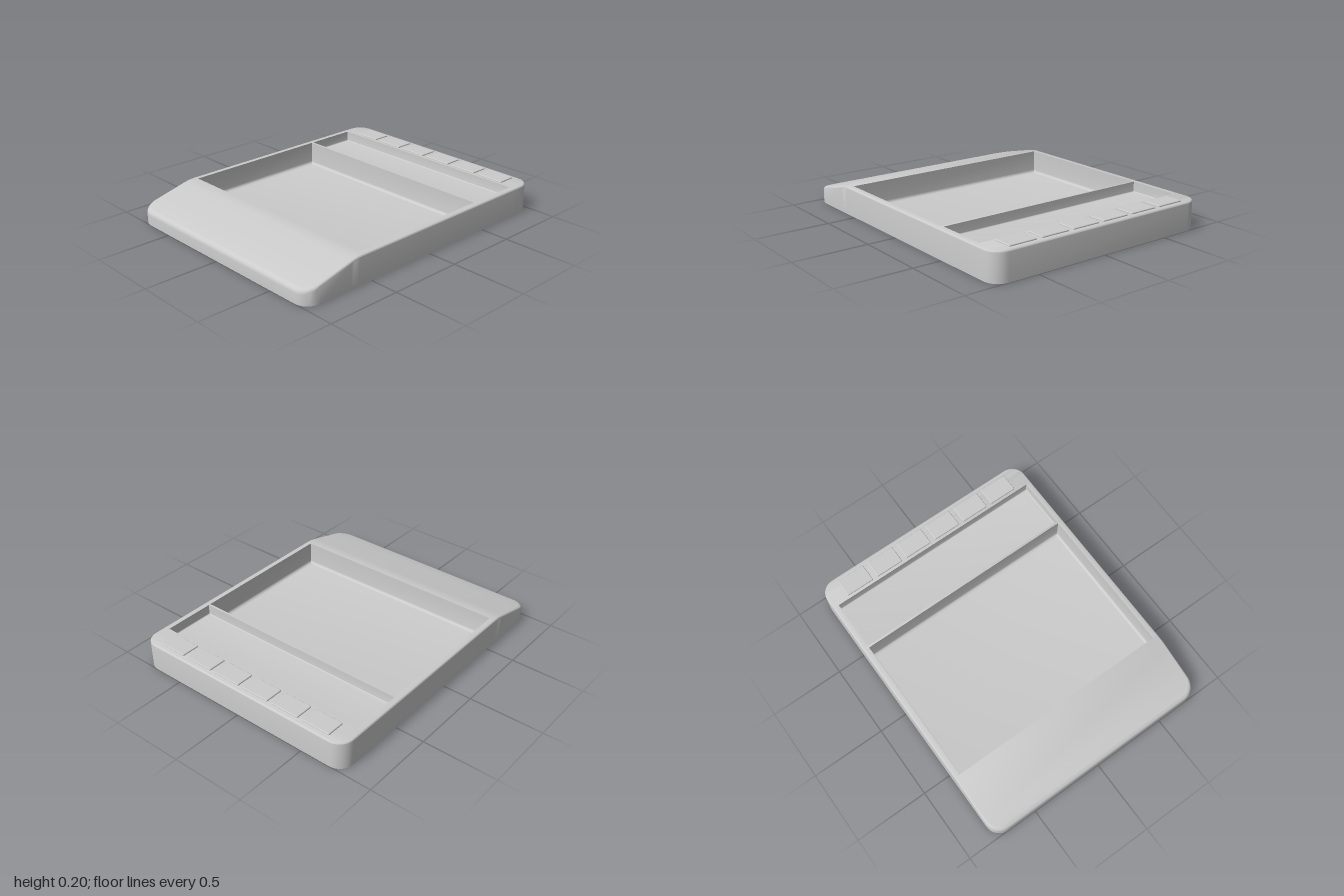
import * as THREE from 'three';
import { toCreasedNormals } from 'three/addons/utils/BufferGeometryUtils.js';
import { RoundedBoxGeometry } from 'three/addons/geometries/RoundedBoxGeometry.js';

const W = 0.805, L = 1, R = 0.1, TOP = 0.19;
const POCKET_X = 0.765;
const POCKETS = [
  { name: 'rearPocket', z0: -0.82, z1: -0.47, floor: 0.12, r: 0.006 },
  { name: 'mainPocket', z0: -0.455, z1: 0.57, floor: 0.03, r: 0.02 },
];

const material = new THREE.MeshStandardMaterial({ color: 0xcccccc });

// Height of the top surface: flat, then a softened bend into the front slope
function topHeight(z) {
  const start = 0.57, end = 0.66, slope = 0.245;
  if (z <= start) return TOP;
  if (z < end) return TOP - slope * (z - start) ** 2 / (2 * (end - start));
  return TOP - slope * (z - (start + end) / 2);
}

// Collects quads (corners counter-clockwise from the front) into one mesh
class Surface {
  constructor() { this.data = []; }
  quad(a, b, c, d) {
    for (const p of [a, b, c, a, c, d]) this.data.push(...p);
  }
  loft(low, high) {
    low.forEach((a, i) => {
      const j = (i + 1) % low.length;
      this.quad(low[j], a, high[i], high[j]);
    });
  }
  mesh(name) {
    const geo = new THREE.BufferGeometry();
    geo.setAttribute('position', new THREE.Float32BufferAttribute(this.data, 3));
    const mesh = new THREE.Mesh(toCreasedNormals(geo, 0.55), material);
    mesh.name = name;
    return mesh;
  }
}

// Right half of the rounded outline, back to front, with outward normals
function halfOutline() {
  const pts = [], n = 8;
  const arc = (cz, from) => {
    for (let i = 0; i <= n; i++) {
      const a = from + (i / n) * Math.PI / 2;
      const nx = Math.cos(a), nz = Math.sin(a);
      pts.push({ x: W - R + R * nx, z: cz + R * nz, nx, nz });
    }
  };
  arc(-L + R, -Math.PI / 2);
  for (const z of [-0.82, -0.47, -0.455, 0.57, 0.593, 0.615, 0.638, 0.66])
    pts.push({ x: W, z, nx: 1, nz: 0 });
  arc(L - R, 0);
  return pts;
}

const mirror = ([x, y, z]) => [-x, y, z];
const fullLoop = half => [...half, ...half.map(mirror).reverse()];

function buildBody() {
  const s = new Surface();
  const outline = halfOutline();

  // Side wall, then a rounded top edge that is broader at the nose
  const base = outline.map(p => [p.x, 0, p.z]);
  let prev = base;
  const steps = 5;
  for (let k = 0; k <= steps; k++) {
    const a = (k / steps) * Math.PI / 2;
    const ring = outline.map(p => {
      const b = 0.012 + 0.016 * THREE.MathUtils.smoothstep(p.z, 0.85, 1);
      const inset = b * (1 - Math.cos(a));
      const z = p.z - p.nz * inset;
      return [p.x - p.nx * inset, topHeight(z) - b * (1 - Math.sin(a)), z];
    });
    s.loft(fullLoop(prev), fullLoop(ring));
    prev = ring;
  }

  // Top and underside in rows, leaving the pockets open
  for (let i = 0; i + 1 < prev.length; i++) {
    const a = prev[i], b = prev[i + 1];
    const mid = (a[2] + b[2]) / 2;
    if (POCKETS.some(p => mid > p.z0 && mid < p.z1)) {
      const ia = [POCKET_X, a[1], a[2]], ib = [POCKET_X, b[1], b[2]];
      s.quad(ib, b, a, ia);
      s.quad(mirror(b), mirror(ib), mirror(ia), mirror(a));
    } else {
      s.quad(mirror(b), b, a, mirror(a));
    }
    const c = base[i], d = base[i + 1];
    s.quad(mirror(c), c, d, mirror(d));
  }
  return s.mesh('trayBody');
}

// Open compartment with a filleted floor
function buildPocket({ name, z0, z1, floor, r }) {
  const s = new Surface();
  const ring = (inset, y) => {
    const x = POCKET_X - inset;
    return [[x, y, z0 + inset], [x, y, z1 - inset], [-x, y, z1 - inset], [-x, y, z0 + inset]];
  };
  let prev = ring(0, TOP);
  const steps = 4;
  for (let k = 0; k <= steps; k++) {
    const a = (k / steps) * Math.PI / 2;
    const next = ring(r * (1 - Math.cos(a)), floor + r * (1 - Math.sin(a)));
    s.loft(prev, next);
    prev = next;
  }
  s.quad(prev[2], prev[1], prev[0], prev[3]);
  return s.mesh(name);
}

export function createModel() {
  const model = new THREE.Group();
  model.name = 'tray';
  model.add(buildBody());
  for (const p of POCKETS) model.add(buildPocket(p));

  // Row of low keys along the back rim
  const keys = new THREE.Group();
  keys.name = 'keys';
  const keyGeo = new RoundedBoxGeometry(0.198, 0.03, 0.126, 3, 0.006);
  for (let i = 0; i < 6; i++) {
    const key = new THREE.Mesh(keyGeo, material);
    key.name = 'key';
    key.position.set((i - 2.5) * 0.232, 0.184, -0.903);
    keys.add(key);
  }
  model.add(keys);
  return model;
}
